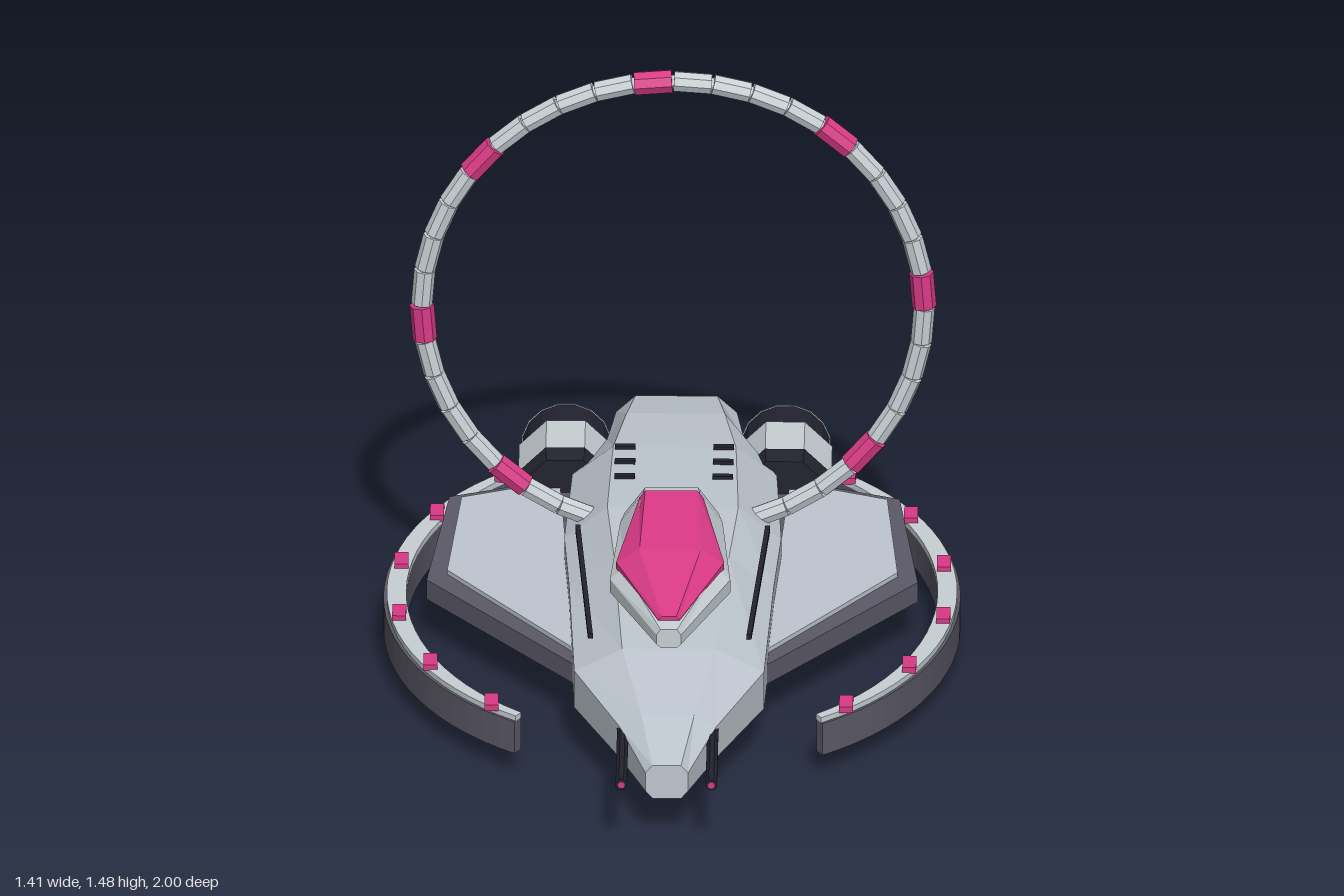
import * as THREE from 'three';

const mat = (name, color) => {
  const m = new THREE.MeshStandardMaterial({ color });
  m.name = name;
  return m;
};

// Faceted normals for low-poly parts
function facet(geo) {
  const g = geo.index ? geo.toNonIndexed() : geo;
  g.computeVertexNormals();
  return g;
}

// Skin closed cross-sections (counterclockwise seen from +z), ordered front to back
function loft(rings) {
  const out = [];
  const tri = (a, b, c) => out.push(...a, ...b, ...c);
  const n = rings[0].length;
  for (let r = 0; r < rings.length - 1; r++) {
    const A = rings[r], B = rings[r + 1];
    for (let i = 0; i < n; i++) {
      const j = (i + 1) % n;
      tri(A[i], B[i], B[j]);
      tri(A[i], B[j], A[j]);
    }
  }
  const F = rings[0], L = rings[rings.length - 1];
  for (let i = 1; i < n - 1; i++) {
    tri(F[0], F[i], F[i + 1]);
    tri(L[0], L[i + 1], L[i]);
  }
  const g = new THREE.BufferGeometry();
  g.setAttribute('position', new THREE.Float32BufferAttribute(out, 3));
  g.computeVertexNormals();
  return g;
}

// Eight-sided section: bottom, lower shoulder, upper shoulder, top and half widths
const octSection = ([z, bot, yL, yU, top, wBot, w, wTop]) => [
  [wBot, bot, z], [w, yL, z], [w, yU, z], [wTop, top, z],
  [-wTop, top, z], [-w, yU, z], [-w, yL, z], [-wBot, bot, z],
];

// Flat plate from x,z outline between two heights
function plate(points, y0, y1) {
  const shape = new THREE.Shape(points.map(([x, z]) => new THREE.Vector2(x, -z)));
  const g = new THREE.ExtrudeGeometry(shape, { depth: y1 - y0, bevelEnabled: false });
  return g.rotateX(-Math.PI / 2).translate(0, y0, 0);
}

// Cylinder lying along z from zFront to zBack
function drum(rFront, rBack, zFront, zBack, sides = 8) {
  const g = new THREE.CylinderGeometry(rFront, rBack, zFront - zBack, sides);
  return facet(g.rotateY(Math.PI / sides).rotateX(Math.PI / 2).translate(0, 0, (zFront + zBack) / 2));
}

export function createModel() {
  const hullGrey = mat('hull grey', 0xbfc7d0);
  const paleGrey = mat('pale grey', 0xc8d0d5);
  const slate = mat('slate', 0x5c5a68);
  const black = mat('dark metal', 0x232330);
  const pink = mat('pink', 0xd93a86);

  const model = new THREE.Group();
  const add = (parent, name, geo, material, x = 0, y = 0, z = 0) => {
    const m = new THREE.Mesh(geo, material);
    m.name = name;
    m.position.set(x, y, z);
    parent.add(m);
    return m;
  };

  // Hull
  add(model, 'hull', loft([
    [0.92, 0.11, 0.13, 0.18, 0.2, 0.035, 0.052, 0.035],
    [0.72, 0.09, 0.12, 0.205, 0.238, 0.07, 0.118, 0.065],
    [0.45, 0.07, 0.12, 0.22, 0.28, 0.12, 0.232, 0.115],
    [0.0, 0.035, 0.12, 0.225, 0.303, 0.15, 0.25, 0.14],
    [-0.25, 0.025, 0.12, 0.23, 0.315, 0.16, 0.265, 0.16],
    [-0.6, 0.035, 0.12, 0.225, 0.303, 0.15, 0.25, 0.15],
    [-0.82, 0.055, 0.12, 0.21, 0.283, 0.11, 0.168, 0.12],
    [-0.98, 0.085, 0.12, 0.205, 0.25, 0.09, 0.148, 0.1],
    [-1.0, 0.1, 0.13, 0.195, 0.235, 0.08, 0.13, 0.09],
  ].map(octSection)), hullGrey);

  // Belly hatch with rails
  add(model, 'bellyHatch', new THREE.BoxGeometry(0.2, 0.03, 0.29), black, 0, 0.03, -0.175);
  for (const s of [-1, 1])
    add(model, 'bellyRail', new THREE.BoxGeometry(0.015, 0.015, 0.18), paleGrey, s * 0.11, 0.0075, -0.18);

  // Cockpit pod and glass
  add(model, 'cockpitPod', loft([
    [0.54, 0.33, 0.34, 0.365, 0.38, 0.02, 0.03, 0.02],
    [0.27, 0.322, 0.345, 0.38, 0.41, 0.09, 0.147, 0.115],
    [0.0, 0.315, 0.345, 0.40, 0.478, 0.08, 0.125, 0.07],
    [-0.05, 0.315, 0.345, 0.40, 0.47, 0.075, 0.115, 0.065],
    [-0.125, 0.325, 0.35, 0.39, 0.425, 0.06, 0.085, 0.05],
  ].map(octSection)), paleGrey);
  add(model, 'cockpitGlass', loft([
    [0.5, 0.37, 0.375, 0.386, 0.395, 0.02, 0.026, 0.018],
    [0.25, 0.39, 0.4, 0.417, 0.453, 0.11, 0.132, 0.075],
    [0.0, 0.44, 0.45, 0.468, 0.487, 0.065, 0.078, 0.064],
  ].map(octSection)), pink);

  // Upright ring of 40 segments, every fifth one pink
  const ring = new THREE.Group();
  ring.name = 'uprightRing';
  ring.position.set(0, 0.84, -0.305);
  model.add(ring);
  add(ring, 'ringCore', new THREE.TorusGeometry(0.612, 0.019, 6, 80), paleGrey);
  for (let i = 0; i < 40; i++) {
    const a = (i + 0.5) * Math.PI / 20, lit = i % 5 === 0;
    const r = lit ? 0.03 : 0.026;
    const seg = add(ring, lit ? 'ringLight' : 'ringSegment',
      facet(new THREE.CylinderGeometry(r, r, 0.092, 8)), lit ? pink : paleGrey,
      Math.cos(a) * 0.612, Math.sin(a) * 0.612, 0);
    seg.rotation.z = a;
  }

  // Curved side fin: elliptical band, thinner towards its ends
  const T0 = 57, T1 = -57, STEPS = 28;
  const finRings = (y0, y1, scale, inset) => Array.from({ length: STEPS + 1 }, (_, i) => {
    const deg = T0 + (T1 - T0) * i / STEPS, t = THREE.MathUtils.degToRad(deg);
    const h = (0.013 + 0.015 * Math.cos(t * 1.5)) * scale;
    const p = (d, y) => [Math.cos(t) * (0.677 + d), y, -0.1 + Math.sin(t) * (0.8 + d)];
    return [p(h - inset, y0), p(h - inset, y1), p(-h - inset, y1), p(-h - inset, y0)];
  });

  for (const s of [1, -1]) {
    const side = new THREE.Group();
    side.name = s > 0 ? 'leftSide' : 'rightSide';
    side.scale.x = s;
    model.add(side);

    // Wing slab with raised panel
    add(side, 'wingFrame', plate([[0.2, 0.35], [0.245, 0.3], [0.6, -0.14], [0.55, -0.59], [0.36, -0.66], [0.2, -0.66]], 0.115, 0.168), slate);
    add(side, 'wingPanel', plate([[0.235, 0.25], [0.55, -0.17], [0.52, -0.565], [0.35, -0.63], [0.28, -0.63], [0.25, -0.1]], 0.168, 0.18), hullGrey);

    // Side fin, its pale top and lights
    add(side, 'sideFin', loft(finRings(0.06, 0.146, 1, 0)), slate);
    add(side, 'sideFinTop', loft(finRings(0.146, 0.16, 0.85, 0.004)), paleGrey);
    for (let k = 0; k < 6; k++) {
      const t = THREE.MathUtils.degToRad(-51 + 20.2 * k);
      add(side, 'finLight', new THREE.BoxGeometry(0.034, 0.016, 0.064), pink,
        Math.cos(t) * 0.674, 0.165, -0.1 + Math.sin(t) * 0.8);
    }

    // Engine
    const engine = new THREE.Group();
    engine.name = 'engine';
    engine.position.set(0.268, 0.147, 0);
    side.add(engine);
    add(engine, 'intake', drum(0.118, 0.126, -0.615, -0.67), black);
    add(engine, 'casing', drum(0.124, 0.124, -0.66, -0.82), paleGrey);
    add(engine, 'nozzle', drum(0.108, 0.108, -0.815, -0.922, 16), black);
    add(engine, 'nozzleRim', drum(0.111, 0.104, -0.92, -0.936, 16), paleGrey);
    add(engine, 'nozzleFace', drum(0.09, 0.09, -0.93, -0.939, 16), black);
    add(engine, 'exhaustGlow', drum(0.055, 0.055, -0.935, -0.943, 16), pink);
    for (let k = 0; k < 12; k++) {
      const a = k * Math.PI / 6;
      const vane = add(engine, 'nozzleVane', new THREE.BoxGeometry(0.018, 0.01, 0.008), slate,
        Math.cos(a) * 0.074, Math.sin(a) * 0.074, -0.938);
      vane.rotation.z = a;
    }
    const strut = add(side, 'engineStrut', new THREE.BoxGeometry(0.08, 0.02, 0.015), paleGrey, 0.39, 0.15, -0.72);
    strut.rotation.y = 0.6;

    // Gun with lit muzzle
    add(side, 'gun', drum(0.015, 0.015, 1.0, 0.64), black, 0.11, 0.188, 0);
    add(side, 'gunMuzzle', drum(0.009, 0.009, 1.0, 0.99), pink, 0.11, 0.188, 0.002);

    // Long slit and rear vents on the hull top
    const slit = add(side, 'hullSlit', new THREE.BoxGeometry(0.012, 0.014, 0.59), black, 0.213, 0.262, 0.05);
    slit.rotation.y = -0.065;
    [[-0.42, 0.31], [-0.505, 0.308], [-0.59, 0.305]].forEach(([z, y]) =>
      add(side, 'rearVent', new THREE.BoxGeometry(0.05, 0.014, 0.016), black, 0.12, y, z));
  }

  return model;
}
